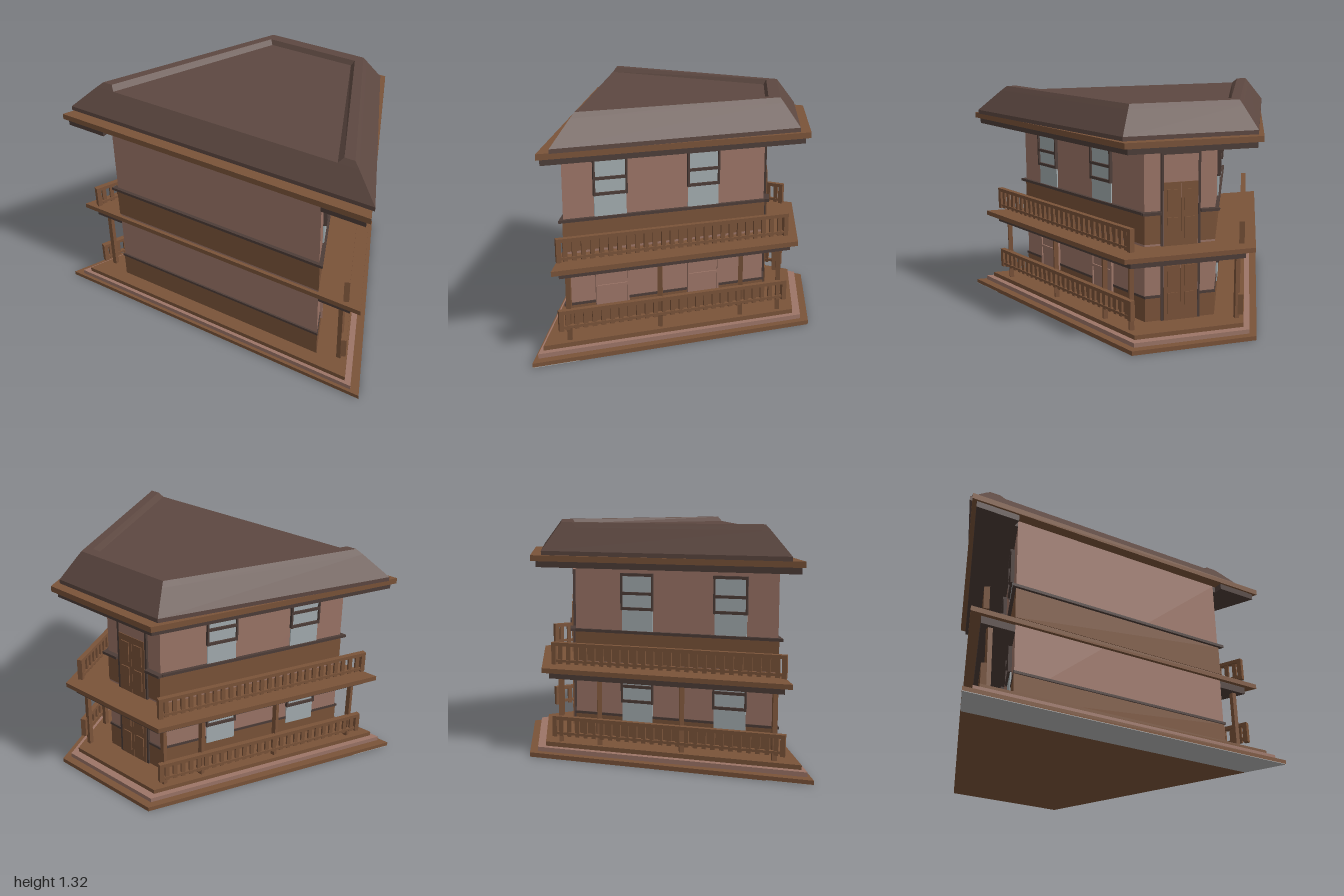
import * as THREE from 'three';

const mat = (name, color) => Object.assign(new THREE.MeshStandardMaterial({ color }), { name });

export function createModel() {
  const wood = mat('wood', 0x7a5339);
  const wall = mat('wall plaster', 0x9c7567);
  const roofing = mat('roof', 0x5d4841);
  const trim = mat('dark trim', 0x4d3d38);
  const glass = mat('glass', 0xa4adb0);
  const stone = mat('grey stone', 0xb4b4b4);
  const model = new THREE.Group();
  const M = 0.43; // how far the side walls close in per unit of depth

  // Four-cornered solid between two outlines of [x, z] corners
  // (front left, front right, back right, back left)
  function loft(name, material, low, y0, high, y1, parent = model) {
    const p = (c, y) => [c[0], y, c[1]];
    const a = low.map((c) => p(c, y0)), b = high.map((c) => p(c, y1));
    const v = [];
    const quad = (i, j, k, l) => v.push(...i, ...j, ...k, ...i, ...k, ...l);
    for (let i = 0; i < 4; i++) {
      const n = (i + 1) % 4;
      quad(a[n], a[i], b[i], b[n]);
    }
    quad(b[3], b[2], b[1], b[0]);
    quad(a[0], a[1], a[2], a[3]);
    const g = new THREE.BufferGeometry();
    g.setAttribute('position', new THREE.Float32BufferAttribute(v, 3));
    g.computeVertexNormals();
    const mesh = new THREE.Mesh(g, material);
    mesh.name = name;
    parent.add(mesh);
    return mesh;
  }

  // Symmetric outline that narrows towards the back
  const trap = (xf, zf, zb, xb = xf - M * (zf - zb)) => [[xf, zf], [-xf, zf], [-xb, zb], [xb, zb]];
  const slab = (name, material, outline, y0, y1) => loft(name, material, outline, y0, outline, y1);

  function box(parent, name, material, w, h, d, x, y, z) {
    const m = new THREE.Mesh(new THREE.BoxGeometry(w, h, d), material);
    m.name = name;
    m.position.set(x, y, z);
    parent.add(m);
    return m;
  }

  // Group on a sloping side (s = 1 left, -1 right), its local z facing outwards
  function onSide(name, s, x, z) {
    const g = new THREE.Group();
    g.name = name;
    g.position.set(s * x, 0, z);
    g.rotation.y = s * Math.atan2(1, -M);
    model.add(g);
    return g;
  }

  // Stepped base with a grey strip under its front
  const mid = 1 - 0.437 * 0.228;
  slab('undersideFront', stone, trap(1, 0.733, 0.505, mid), 0, 0.003);
  slab('undersideBack', wood, trap(mid, 0.505, -0.735, 0.36), 0, 0.003);
  slab('lowerStep', wood, trap(1, 0.733, -0.735, 0.36), 0.003, 0.025);
  slab('middleStep', wall, trap(0.94, 0.715, -0.69), 0.025, 0.05);
  slab('upperStep', wood, trap(0.895, 0.695, -0.645), 0.05, 0.075);

  // Walls, wainscots and their rails
  slab('walls', wall, trap(0.67, 0.61, -0.465), 0.075, 1.11);
  slab('lowerWainscot', wood, trap(0.674, 0.614, -0.47), 0.075, 0.212);
  slab('lowerWainscotRail', trim, trap(0.68, 0.62, -0.475), 0.212, 0.226);
  slab('upperWainscot', wood, trap(0.674, 0.614, -0.47), 0.525, 0.695);
  slab('upperWainscotRail', trim, trap(0.7, 0.63, -0.47), 0.695, 0.711);
  for (const s of [1, -1]) box(model, 'backWainscotRail', trim, 0.11, 0.016, 0.03, s * 0.17, 0.703, -0.482);

  // Balcony
  slab('balconyBeam', trim, trap(0.86, 0.605, -0.62), 0.445, 0.485);
  slab('balconyFloor', wood, trap(0.93, 0.63, -0.66), 0.485, 0.512);

  // Posts under the balcony
  for (const s of [1, -1]) {
    for (const z of [0.57, 0.1, -0.34, -0.555]) {
      box(model, 'post', wood, 0.026, 0.37, 0.026, s * (0.795 - M * (0.57 - z)), 0.26, z);
    }
  }

  // Railings along both sides
  const len = 1.22 * Math.hypot(1, M);
  function railing(name, s, y0, y1) {
    const g = onSide(name, s, 0.845 - M * 0.62, 0.01);
    box(g, 'topRail', wood, len, 0.02, 0.03, 0, y1 - 0.01, 0);
    box(g, 'bottomRail', wood, len, 0.014, 0.022, 0, y0 + 0.02, 0);
    for (const e of [1, -1]) box(g, 'endPost', wood, 0.026, y1 - y0, 0.03, e * (len / 2 - 0.013), (y0 + y1) / 2, 0);
    const n = 27;
    for (let i = 1; i < n; i++) {
      box(g, 'baluster', wood, 0.024, y1 - y0 - 0.02, 0.014, (i / n - 0.5) * len, (y0 + y1) / 2 - 0.008, 0);
    }
  }
  railing('lowerLeftRailing', 1, 0.14, 0.256);
  railing('lowerRightRailing', -1, 0.108, 0.226);
  railing('upperLeftRailing', 1, 0.53, 0.66);
  railing('upperRightRailing', -1, 0.525, 0.65);

  // Windows: a plain lower pane and a framed upper part with bars
  function sideWindow(s, z, dy, pane) {
    const g = onSide('window', s, 0.67 - M * (0.61 - z), z);
    g.position.y = dy;
    const w = 0.18;
    box(g, 'pane', pane, w, 0.32, 0.008, 0, 0.87, 0.004);
    if (pane === wall) {
      for (const y of [0.835, 0.92]) box(g, 'panelBar', wall, w, 0.014, 0.016, 0, y, 0.008);
      for (const e of [1, -1]) box(g, 'panelStile', wall, 0.01, 0.32, 0.016, e * w / 2, 0.87, 0.008);
      return;
    }
    for (const y of [0.837, 0.923]) box(g, 'bar', trim, w, 0.016, 0.02, 0, y, 0.01);
    box(g, 'head', trim, w + 0.01, 0.016, 0.024, 0, 1.028, 0.012);
    for (const e of [1, -1]) box(g, 'stile', trim, 0.01, 0.205, 0.02, e * w / 2, 0.93, 0.01);
  }
  for (const s of [1, -1]) {
    for (const z of [0.37, -0.122]) {
      sideWindow(s, z, 0, glass);
      sideWindow(s, z, -0.53, s > 0 ? wall : glass);
    }
  }

  // Double doors at the back, with a plain panel above
  function door(name, y0, top) {
    const g = new THREE.Group();
    g.name = name;
    model.add(g);
    const h = top - y0, leafH = Math.min(0.36, h);
    box(g, 'doorPanel', wall, 0.21, h, 0.02, 0, y0 + h / 2, -0.468);
    for (const s of [1, -1]) {
      box(g, 'doorJamb', trim, 0.014, h, 0.03, s * 0.108, y0 + h / 2, -0.465);
      box(g, 'doorLeaf', wood, 0.098, leafH, 0.03, s * 0.05, y0 + leafH / 2, -0.467);
      for (const k of [0.28, 0.72]) box(g, 'leafPanel', wood, 0.06, leafH * 0.34, 0.008, s * 0.05, y0 + leafH * k, -0.484);
    }
    box(g, 'doorHead', trim, 0.23, 0.014, 0.03, 0, top - 0.007, -0.465);
  }
  door('lowerDoor', 0.075, 0.445);
  door('upperDoor', 0.512, 1.04);

  // Eaves
  slab('soffit', trim, trap(0.918, 0.608, -0.683), 1.075, 1.11);
  for (const s of [1, -1]) {
    const ends = [[0.94, 0.66], [0.69, 0.66], [0.69, 0.608], [0.918, 0.608]];
    const outline = s > 0 ? ends : [1, 0, 3, 2].map((i) => [-ends[i][0], ends[i][1]]);
    slab('eaveEnd', trim, outline, 1.075, 1.11);
  }
  slab('eaveBoard', wood, trap(0.97, 0.672, -0.71, 0.385), 1.11, 1.142);

  // Hipped roof with a shallow sunken top, open to the front
  const eave = trap(0.957, 0.607, -0.652, 0.378);
  const ridge = trap(0.823, 0.525, -0.561, 0.323);
  slab('roofEdge', roofing, eave, 1.142, 1.165);
  loft('roofSlopes', roofing, eave, 1.165, ridge, 1.29);
  for (const s of [1, -1]) {
    const side = (c) => (s > 0 ? c : [1, 0, 3, 2].map((i) => [-c[i][0], c[i][1]]));
    loft('roofSideRim', roofing,
      side([[0.823, 0.525], [0.705, 0.525], [0.27, -0.46], [0.37, -0.46]]), 1.29,
      side([[0.79, 0.505], [0.73, 0.505], [0.287, -0.475], [0.34, -0.475]]), 1.318);
  }
  loft('roofBackRim', roofing, trap(0.37, -0.46, -0.561, 0.323), 1.29, trap(0.34, -0.475, -0.54, 0.31), 1.318);
  return model;
}
